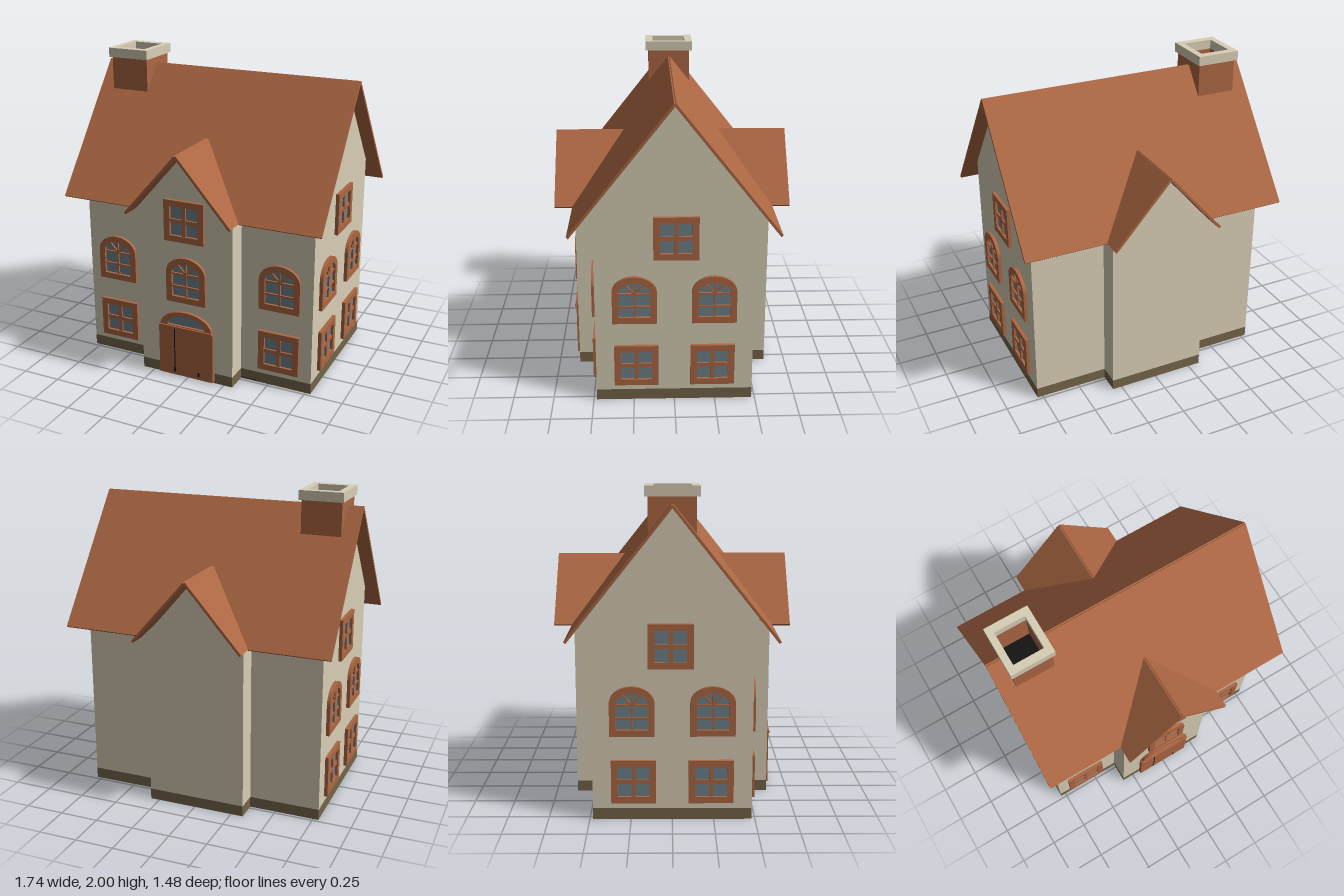
import * as THREE from 'three';

const V = (x, y, z) => new THREE.Vector3(x, y, z);
const mat = (name, color, side = THREE.FrontSide) => {
  const m = new THREE.MeshStandardMaterial({ color, side });
  m.name = name;
  return m;
};

export function createModel() {
  const house = new THREE.Group();
  house.name = 'house';
  const plaster = mat('cream plaster', 0xd8ceb6, THREE.DoubleSide);
  const plinthMat = mat('brown plinth', 0x746549, THREE.DoubleSide);
  const terracotta = mat('terracotta', 0xac6743);
  const glassMat = mat('blue grey glass', 0x6f838d);
  const black = mat('black', 0x141414);

  const add = (parent, name, geo, m) => {
    const mesh = new THREE.Mesh(geo, m);
    mesh.name = name;
    parent.add(mesh);
    return mesh;
  };
  const box = (parent, name, m, w, h, d, x, y, z) => {
    const b = add(parent, name, new THREE.BoxGeometry(w, h, d), m);
    b.position.set(x, y, z);
    return b;
  };
  const poly = (pts) => new THREE.Shape(pts.map(([x, y]) => new THREE.Vector2(x, y)));
  const extrude = (shape, depth) =>
    new THREE.ExtrudeGeometry(shape, { depth, bevelEnabled: false, curveSegments: 12 });

  // Flat polygon laid out along u and v from an origin; a thickness makes it a slab
  const sheet = (name, m, pts, origin, u, v, t = 0) => {
    const geo = t ? extrude(poly(pts), t).translate(0, 0, -t / 2) : new THREE.ShapeGeometry(poly(pts));
    const frame = new THREE.Matrix4().makeBasis(u, v, u.clone().cross(v)).setPosition(origin);
    return add(house, name, geo.applyMatrix4(frame), m);
  };

  // Walls and plinth follow the cross-shaped footprint: x, z, wall height, gable peak
  const X = 0.785, Z = 0.48, BZ = 0.615, L = -0.33, R = 0.31, P = 0.07;
  const footprint = [
    [X, Z, 1.27, 1.88], [X, -Z, 1.27], [R, -Z, 1.13], [R, -BZ, 1.13, 1.5], [L, -BZ, 1.13],
    [L, -Z, 1.27], [-X, -Z, 1.27, 1.88], [-X, Z, 1.27], [L, Z, 1.13], [L, BZ, 1.13, 1.5],
    [R, BZ, 1.13], [R, Z, 1.27],
  ];
  footprint.forEach(([x, z, h, peak], i) => {
    const [nx, nz] = footprint[(i + 1) % footprint.length];
    const origin = V(x, 0, z), u = V(nx - x, 0, nz - z), w = u.length();
    u.normalize();
    const pts = [[0, P], [w, P], [w, h]];
    if (peak) pts.push([w / 2, peak]);
    pts.push([0, h]);
    sheet(peak ? 'gableWall' : 'wall', plaster, pts, origin, u, V(0, 1, 0));
    sheet('plinth', plinthMat, [[0, 0], [w, 0], [w, P], [0, P]], origin, u, V(0, 1, 0));
  });
  box(house, 'floorPlate', black, 0.83, 0.008, 0.71, 0.005, 0.005, 0.125);

  // Main roof halves, notched for the cross gables and the chimney
  const T = 0.016, ridge = 1.893, eave = 1.113, run = 0.62, half = 0.87, valley = 0.3;
  const slope = Math.hypot(run, ridge - eave);
  const bayRidge = ridge - (ridge - eave) * valley / run;
  const C = -0.645;
  for (const s of [1, -1]) {
    sheet('mainRoof', terracotta, [
      [-half, 0], [C - 0.1, 0], [C - 0.1, 0.19], [C + 0.1, 0.19], [C + 0.1, 0], [half, 0],
      [half, slope], [0.35, slope], [-0.005, slope * valley / run], [-0.36, slope], [-half, slope],
    ], V(0, ridge, 0), V(1, 0, 0), V(0, eave - ridge, s * run).normalize(), T);

    // Cross gable roof, two slopes front and back
    for (const k of [1, -1]) {
      const down = V(k * 0.353, eave - bayRidge, 0), len = down.length();
      sheet('crossGableRoof', terracotta, [[valley, 0], [0.738, 0], [0.738, len], [run, len]],
        V(-0.005, bayRidge, 0), V(0, 0, s), down.normalize(), T);
    }
  }

  // Hollow chimney with a cream cap
  const tube = (name, m, w, d, iw, id, y0, y1) => {
    const shape = poly([[-w, -d], [w, -d], [w, d], [-w, d]]);
    shape.holes.push(poly([[-iw, -id], [-iw, id], [iw, id], [iw, -id]]));
    const mesh = add(house, name, extrude(shape, y1 - y0).rotateX(-Math.PI / 2), m);
    mesh.position.set(C, y0, 0);
  };
  tube('chimney', terracotta, 0.127, 0.14, 0.097, 0.11, 1.71, 1.94);
  tube('chimneyCap', plaster, 0.14, 0.16, 0.097, 0.11, 1.94, 2);
  box(house, 'chimneyFlue', black, 0.2, 0.01, 0.226, C, 1.72, 0);

  // Window outline, square or arched, inset by a border
  const W = 0.135, SPRING = 0.2;
  const outline = (arched, i) => {
    const s = new THREE.Shape();
    s.moveTo(-W + i, i);
    s.lineTo(W - i, i);
    if (arched) {
      s.lineTo(W - i, SPRING);
      s.absellipse(0, SPRING, W - i, 0.105 - i, 0, Math.PI, false);
    } else {
      s.lineTo(W - i, 0.268 - i);
      s.lineTo(-W + i, 0.268 - i);
    }
    s.closePath();
    return s;
  };
  const addWindow = (parent, x, y, arched) => {
    const g = new THREE.Group();
    g.name = arched ? 'archedWindow' : 'squareWindow';
    g.position.set(x, y, 0);
    parent.add(g);
    const frame = outline(arched, 0);
    frame.holes.push(outline(arched, 0.04));
    add(g, 'windowFrame', extrude(frame, 0.022), terracotta);
    add(g, 'windowGlass', extrude(outline(arched, 0.03), 0.009), glassMat).position.z = -0.004;
    const top = arched ? 0.28 : 0.24, b = arched ? 0.011 : 0.024;
    box(g, 'glazingBar', terracotta, b, top - 0.03, 0.016, 0, (top + 0.03) / 2, 0.009);
    for (const by of arched ? [0.108, 0.192] : [0.134])
      box(g, 'glazingBar', terracotta, 0.2, b, 0.015, 0, by, 0.009);
    if (arched) for (const k of [1, -1])
      box(g, 'fanBar', terracotta, 0.095, 0.011, 0.014, k * 0.033, 0.226, 0.009).rotation.z = k * 0.8;
  };

  // One group per wall that carries windows, facing outward
  const facade = (name, x, z, turn) => {
    const g = new THREE.Group();
    g.name = name;
    g.position.set(x, 0, z);
    g.rotation.y = turn;
    house.add(g);
    return g;
  };
  const wing = facade('frontWingWindows', 0, Z, 0);
  for (const x of [-0.573, 0.57]) {
    addWindow(wing, x, 0.11, false);
    addWindow(wing, x, 0.53, true);
  }
  const bay = facade('frontBay', -0.002, BZ, 0);
  addWindow(bay, 0, 0.53, true);
  addWindow(bay, -0.007, 0.938, false);
  for (const k of [1, -1]) {
    const side = facade('sideWindows', k * X, 0, k * Math.PI / 2);
    for (const x of [-0.24, 0.24]) {
      addWindow(side, x, 0.53, true);
      addWindow(side, x * 0.97, 0.11, false);
    }
    addWindow(side, k * 0.01, 0.942, false);
  }

  // Front door with a fan light above
  box(bay, 'door', terracotta, 0.38, 0.335, 0.03, -0.004, 0.178, 0.008);
  box(bay, 'doorLintel', terracotta, 0.37, 0.014, 0.034, -0.004, 0.352, 0.015);
  box(bay, 'doorSeam', black, 0.006, 0.28, 0.004, -0.083, 0.2, 0.023);
  for (const x of [-0.085, 0.085]) box(bay, 'doorFoot', black, 0.012, 0.03, 0.004, x, 0.045, 0.023);
  const arc = (rx, ry) => {
    const s = new THREE.Shape();
    s.moveTo(rx, 0);
    s.absellipse(0, 0, rx, ry, 0, Math.PI, false);
    s.closePath();
    return s;
  };
  const fan = arc(0.18, 0.108);
  fan.holes.push(new THREE.Path(arc(0.13, 0.075).getPoints(12).map((p) => p.add(new THREE.Vector2(0, 0.008)))));
  add(bay, 'fanLightFrame', extrude(fan, 0.022), terracotta).position.set(-0.004, 0.356, 0);
  add(bay, 'fanLightGlass', extrude(arc(0.15, 0.09), 0.009), glassMat).position.set(-0.004, 0.357, -0.004);

  return house;
}
